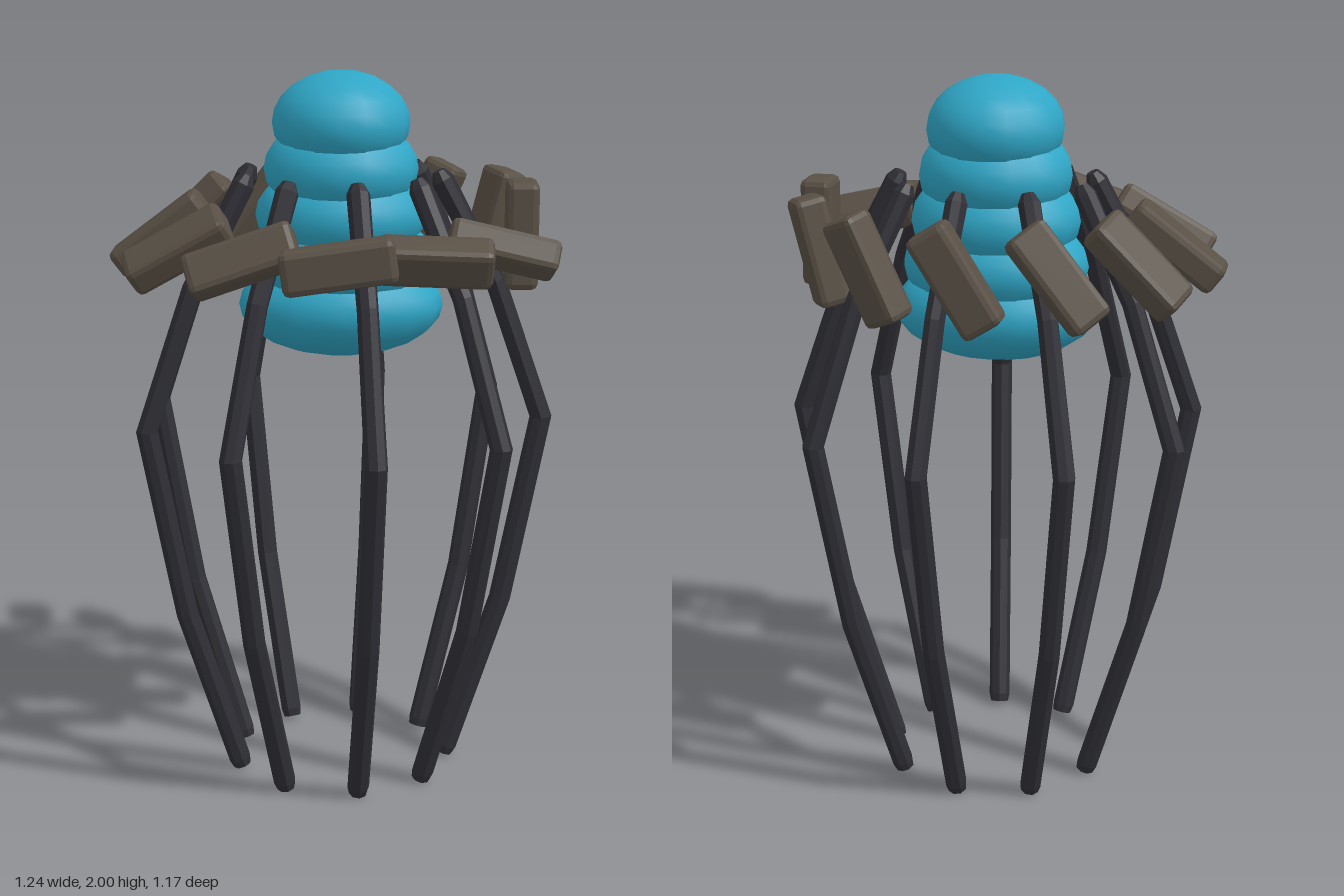
import * as THREE from 'three';
import { RoundedBoxGeometry } from 'three/addons/geometries/RoundedBoxGeometry.js';

const shellBlue = new THREE.MeshStandardMaterial({ color: 0x2fa6c6 });
const legCharcoal = new THREE.MeshStandardMaterial({ color: 0x2f2e35, flatShading: true });
const blockBrown = new THREE.MeshStandardMaterial({ color: 0x595045, flatShading: true });

function addMesh(parent, name, geometry, material) {
  const mesh = new THREE.Mesh(geometry, material);
  mesh.name = name;
  parent.add(mesh);
  return mesh;
}

// Bent leg lying in the x-y plane: a cylinder whose rows follow [distance out, height, radius]
function legGeometry(path) {
  const sides = 8, rows = path.length - 1;
  const geometry = new THREE.CylinderGeometry(1, 1, rows, sides, rows);
  const pos = geometry.attributes.position;
  for (let i = 0; i < pos.count; i++) {
    const row = Math.round(rows / 2 - pos.getY(i));
    const [x, y, radius] = path[row];
    const a = path[Math.max(row - 1, 0)], b = path[Math.min(row + 1, rows)];
    const length = Math.hypot(a[0] - b[0], a[1] - b[1]);
    const tx = (a[0] - b[0]) / length, ty = (a[1] - b[1]) / length;
    const side = pos.getX(i) * radius;
    pos.setXYZ(i, x + ty * side, y - tx * side, pos.getZ(i) * radius);
  }
  geometry.computeVertexNormals();
  return geometry;
}

export function createModel() {
  const model = new THREE.Group();
  model.name = 'leggedBody';
  const core = new THREE.Group();
  core.name = 'core';
  core.position.x = 0.02;
  model.add(core);

  // Stacked, overlapping body segments that narrow towards the top
  for (let i = 0; i < 5; i++) {
    const segment = addMesh(core, 'bodySegment', new THREE.SphereGeometry(1, 16, 12), shellBlue);
    segment.scale.set(0.285 - i * 0.0238, 0.142, 0.21);
    segment.position.y = 1.352 + i * 0.1265;
  }

  // Nine bent legs around the body
  const leg = legGeometry([
    [0.268, 1.725, 0.018], [0.28, 1.7, 0.032], [0.43, 1.42, 0.029], [0.565, 1.03, 0.031],
    [0.46, 0.49, 0.031], [0.31, 0.03, 0.031], [0.302, 0.008, 0.026],
  ]);
  for (let i = 0; i < 9; i++) {
    addMesh(core, 'leg', leg, legCharcoal).rotation.y = (i * Math.PI * 2) / 9;
  }

  // Ring of twelve chamfered blocks, each tipping further over than the last
  const block = new RoundedBoxGeometry(0.3, 0.09, 0.118, 1, 0.018);
  const tilts = [90, -13, -2, 8, 19, 29, 37, 45, 52, 58, 66, 76];
  tilts.forEach((tilt, i) => {
    const angle = (i * Math.PI) / 6;
    const mesh = addMesh(core, 'ringBlock', block, blockBrown);
    mesh.position.set(0.5 * Math.cos(angle), 1.55, 0.5 * Math.sin(angle));
    mesh.rotation.set(-angle, 0, THREE.MathUtils.degToRad(tilt), 'ZYX');
  });

  return model;
}
